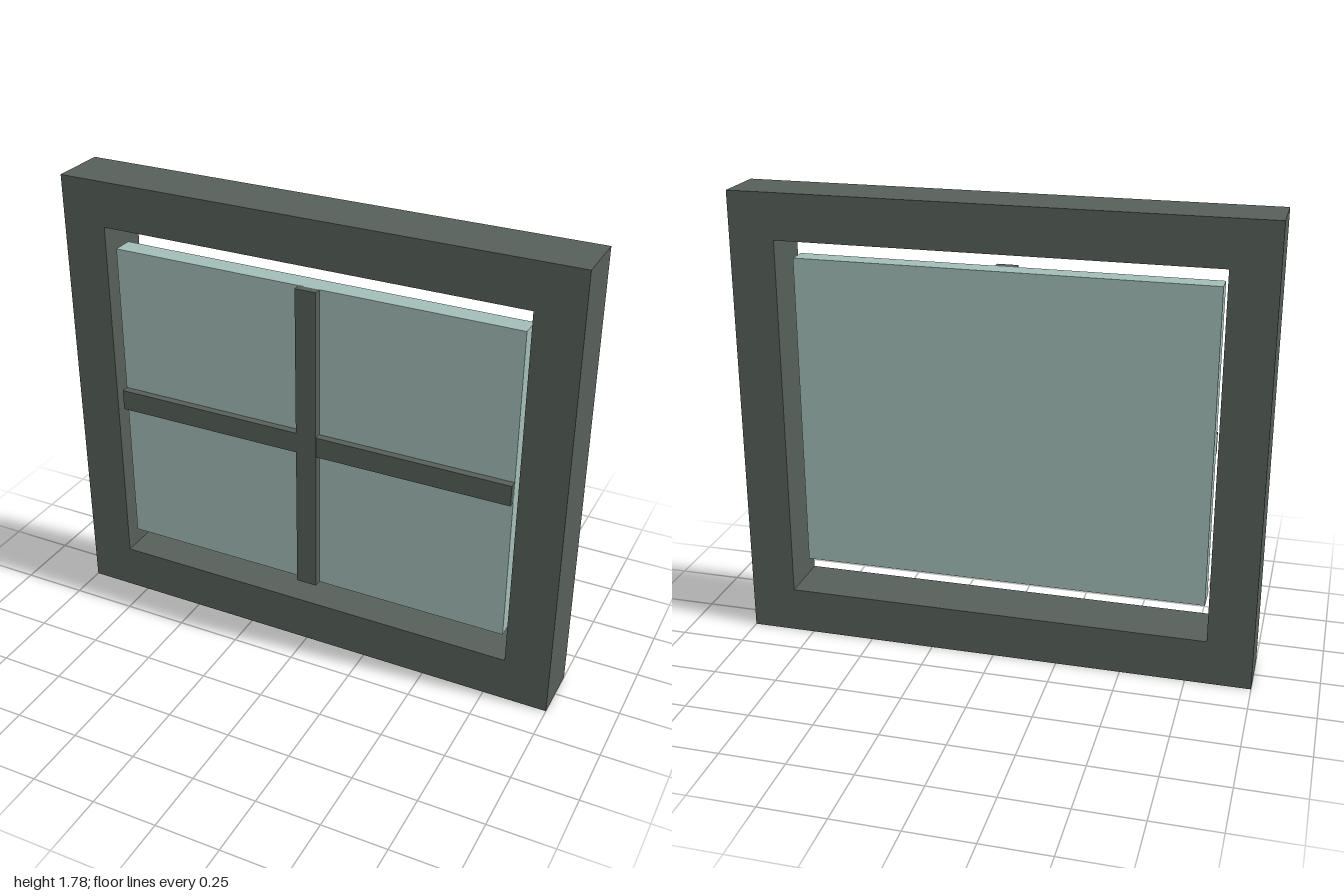
import * as THREE from 'three';

export function createModel() {
  const model = new THREE.Group();
  model.name = 'window';

  const frameMaterial = new THREE.MeshStandardMaterial({ color: 0x565f59 });
  frameMaterial.name = 'dark grey green';
  const glassMaterial = new THREE.MeshStandardMaterial({ color: 0xa3bdb7 });
  glassMaterial.name = 'pale green glass';

  // Outer frame: a rectangle with a rectangular opening
  const outline = new THREE.Shape([[-1, 0], [1, 0], [1, 1.78], [-1, 1.78]].map(([x, y]) => new THREE.Vector2(x, y)));
  outline.holes.push(new THREE.Path(
    [[-0.825, 0.178], [-0.825, 1.604], [0.825, 1.604], [0.825, 0.178]].map(([x, y]) => new THREE.Vector2(x, y))
  ));
  const frameGeometry = new THREE.ExtrudeGeometry(outline, { depth: 0.22, bevelEnabled: false });
  frameGeometry.translate(0, 0, -0.11);
  const frame = new THREE.Mesh(frameGeometry, frameMaterial);
  frame.name = 'frame';
  model.add(frame);

  function addBox(name, width, height, back, front, material) {
    const mesh = new THREE.Mesh(new THREE.BoxGeometry(width, height, front - back), material);
    mesh.name = name;
    mesh.position.set(0, 0.891, (back + front) / 2);
    model.add(mesh);
  }

  // Glass pane, floating inside the opening
  addBox('glassPane', 1.6, 1.245, 0, 0.08, glassMaterial);

  // Crossed glazing bars on the front of the pane
  addBox('verticalBar', 0.082, 1.245, 0.075, 0.11, frameMaterial);
  addBox('horizontalBar', 1.6, 0.082, 0.075, 0.109, frameMaterial);

  return model;
}
